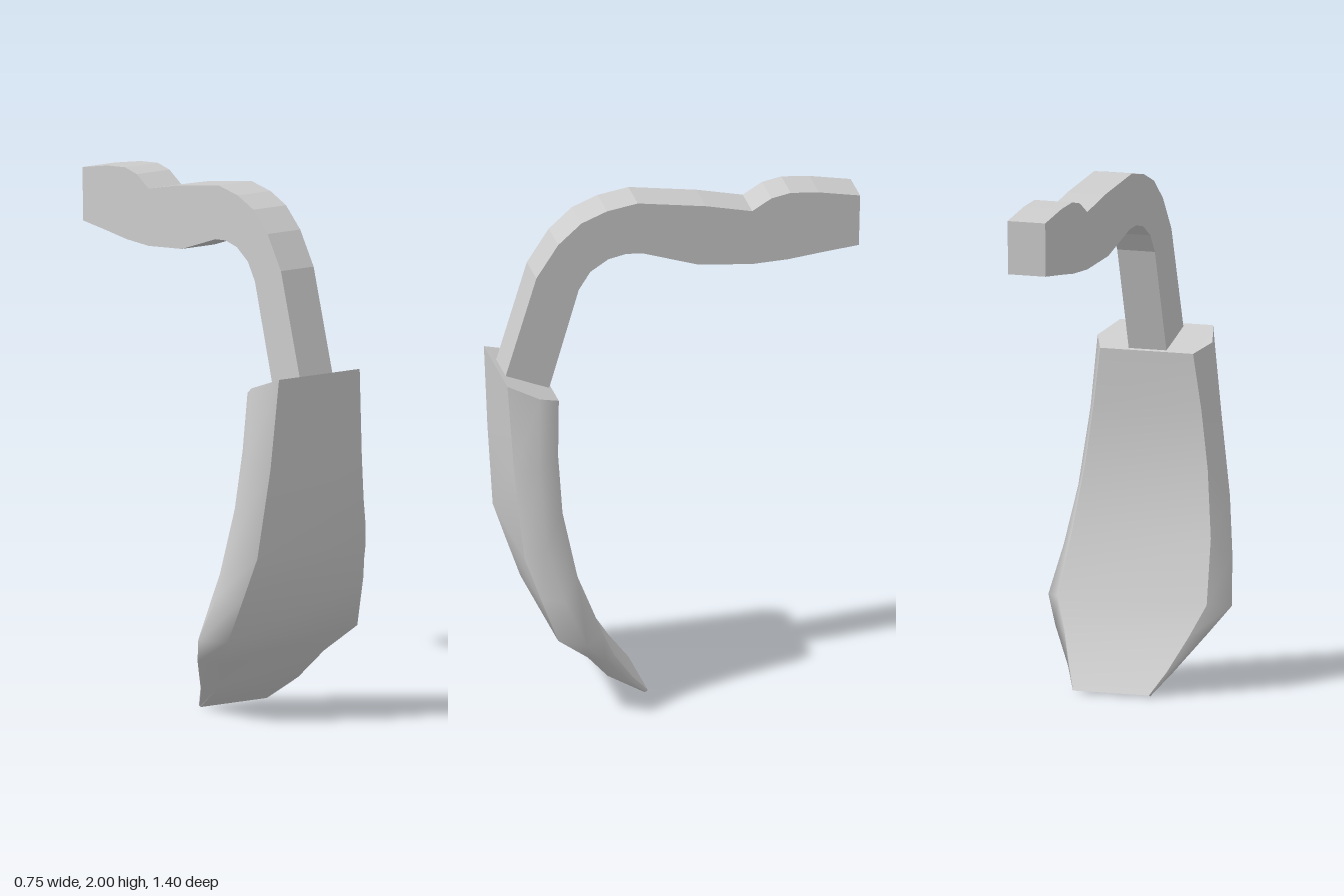
import * as THREE from 'three';

const material = new THREE.MeshStandardMaterial({ color: 0xcccccc });

// Side outline of the handle as [z, y], from the blade socket over the top and back
const handleOutline = [
  [0.68, 1.335], [0.56, 1.73], [0.475, 1.86], [0.385, 1.94], [0.285, 1.98], [0.165, 2],
  [-0.1, 1.96], [-0.28, 1.92], [-0.355, 1.965], [-0.43, 1.98], [-0.54, 1.97], [-0.7, 1.94],
  [-0.695, 1.735], [-0.55, 1.72], [-0.42, 1.705], [-0.28, 1.7], [-0.07, 1.72], [0.145, 1.79],
  [0.21, 1.795], [0.28, 1.78], [0.35, 1.735], [0.395, 1.665], [0.51, 1.27],
];

// Half cross-sections of the blade, top to tip: front edge, widest edge, back edge
const sections = [
  [[0.19, 1.345, 0.7], [0.235, 1.3, 0.585], [0.19, 1.265, 0.5]],
  [[0.215, 1.0, 0.68], [0.268, 1.02, 0.595], [0.22, 1.05, 0.51]],
  [[0.255, 0.655, 0.65], [0.31, 0.72, 0.575], [0.25, 0.825, 0.5]],
  [[0.28, 0.485, 0.59], [0.345, 0.5, 0.515], [0.283, 0.57, 0.45]],
  [[0.305, 0.32, 0.53], [0.375, 0.32, 0.435], [0.305, 0.33, 0.355]],
  [[0.245, 0.21, 0.4], [0.31, 0.22, 0.345], [0.255, 0.215, 0.3]],
  [[0.19, 0.1, 0.31], [0.215, 0.085, 0.24], [0.2, 0.09, 0.215]],
  [[0.155, 0, 0.158], [0.158, 0.004, 0.151], [0.155, 0.007, 0.145]],
];

const mirror = ([x, y, z]) => [-x, y, z];

function makeHandle() {
  const width = 0.154;
  const shape = new THREE.Shape(handleOutline.map(([z, y]) => new THREE.Vector2(z, y)));
  const geometry = new THREE.ExtrudeGeometry(shape, { depth: width, bevelEnabled: false });
  geometry.translate(0, 0, -width / 2).rotateY(-Math.PI / 2);
  return geometry;
}

function makeGeometry(points, index) {
  const geometry = new THREE.BufferGeometry();
  geometry.setAttribute('position', new THREE.Float32BufferAttribute(points.flat(), 3));
  geometry.setIndex(index);
  geometry.computeVertexNormals();
  return geometry;
}

// Smooth skin through equal-length rows of points, rows running downwards
function makeStrip(rows) {
  const n = rows[0].length;
  const index = [];
  for (let r = 0; r < rows.length - 1; r++) {
    for (let c = 0; c < n - 1; c++) {
      const a = r * n + c;
      index.push(a, a + n, a + 1, a + 1, a + n, a + n + 1);
    }
  }
  return makeGeometry(rows.flat(), index);
}

export function createModel() {
  const model = new THREE.Group();
  const add = (parent, name, geometry) => {
    const mesh = new THREE.Mesh(geometry, material);
    mesh.name = name;
    parent.add(mesh);
  };

  add(model, 'handle', makeHandle());

  // Blade: separate strips keep the front and back rims sharp
  const blade = new THREE.Group();
  blade.name = 'blade';
  add(blade, 'bladeFront', makeStrip(sections.map(([f]) => [mirror(f), f])));
  add(blade, 'bladeLeftSide', makeStrip(sections));
  add(blade, 'bladeBack', makeStrip(sections.map(([, , b]) => [b, mirror(b)])));
  add(blade, 'bladeRightSide', makeStrip(sections.map(([f, m, b]) => [b, m, f].map(mirror))));

  // Flat top that the handle rises from
  const [f, m, b] = sections[0];
  const rim = [mirror(f), f, m, b, mirror(b), mirror(m)];
  add(blade, 'bladeTop', makeGeometry(rim, [0, 1, 2, 0, 2, 3, 0, 3, 4, 0, 4, 5]));
  model.add(blade);

  return model;
}
